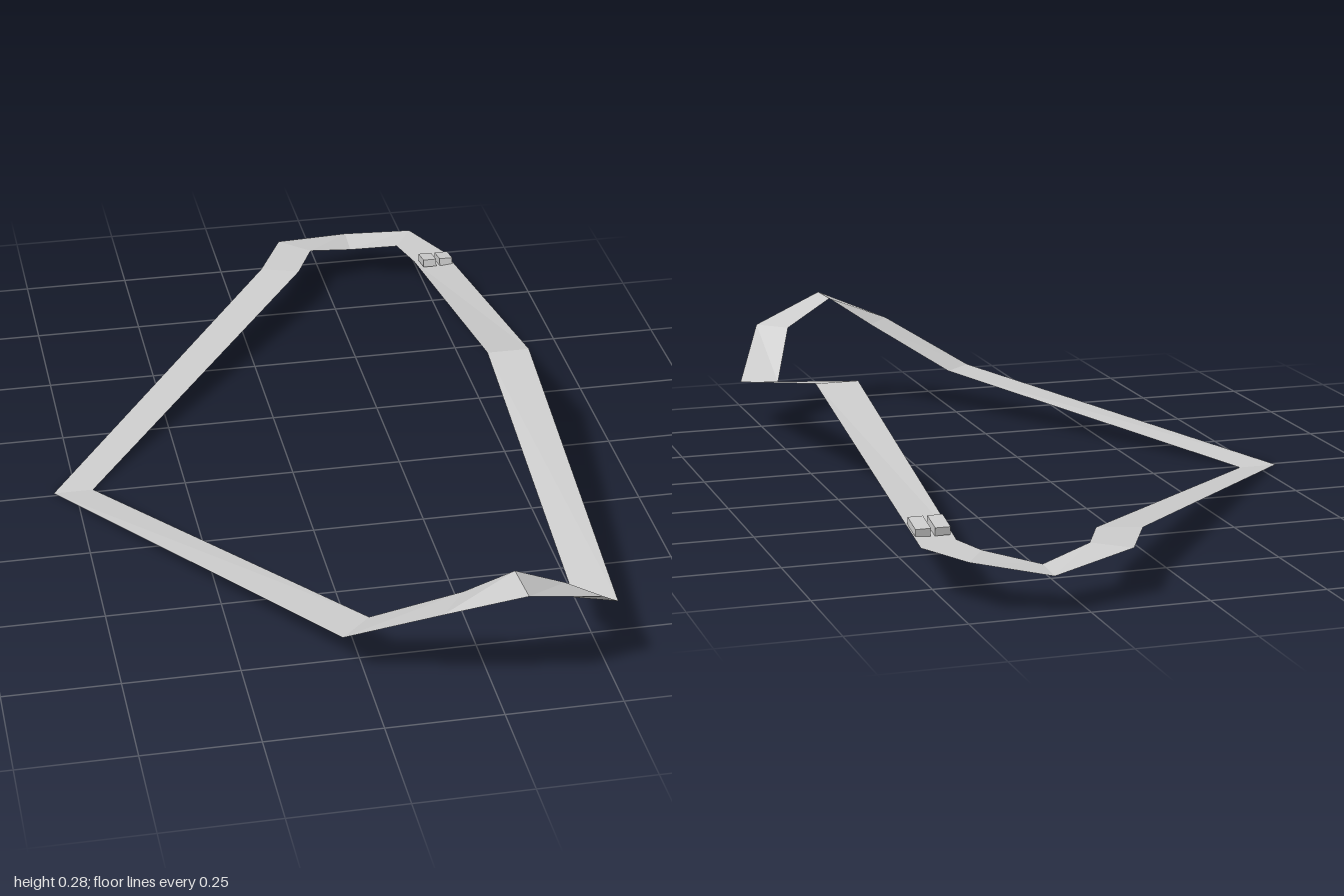
import * as THREE from 'three';

// Stations round the circuit: [outer x, outer z, inner x, inner z, height]
const STATIONS = [
  [-0.55, -0.01, -0.46, -0.01, 0],
  [0.07, -0.80, 0.16, -0.77, 0.105],
  [0.14, -0.94, 0.21, -0.875, 0.105],
  [0.325, -1.0, 0.32, -0.91, 0.08],
  [0.48, -0.94, 0.43, -0.86, 0.105],
  [0.54, -0.81, 0.455, -0.77, 0.105],
  [0.547, 0, 0.45, 0, 0.268],
  [0.54, 0.795, 0.453, 0.765, 0.105],
  [0.465, 0.935, 0.40, 0.87, 0.218],
  [0.29, 0.995, 0.285, 0.90, 0.28],
  [0.13, 0.935, 0.19, 0.86, 0.215],
  [-0.05, 0.82, 0.018, 0.757, 0.105],
];

// Flat ribbon joining each station to the next, closed into a loop
function trackGeometry() {
  const positions = [];
  const indices = [];
  const n = STATIONS.length;
  STATIONS.forEach(([ox, oz, ix, iz, y], k) => {
    positions.push(ox, y, oz, ix, y, iz);
    const a = 2 * k, b = 2 * ((k + 1) % n);
    indices.push(a, a + 1, b, a + 1, b + 1, b);
  });
  const indexed = new THREE.BufferGeometry();
  indexed.setAttribute('position', new THREE.Float32BufferAttribute(positions, 3));
  indexed.setIndex(indices);
  const geometry = indexed.toNonIndexed();
  geometry.computeVertexNormals();
  return geometry;
}

export function createModel() {
  const group = new THREE.Group();
  const material = new THREE.MeshStandardMaterial({
    color: 0xcccccc, flatShading: true, side: THREE.DoubleSide,
  });

  const track = new THREE.Mesh(trackGeometry(), material);
  track.name = 'track';
  group.add(track);

  // Two small cars side by side, resting on the slope of the long straight
  const carGeometry = new THREE.BoxGeometry(0.032, 0.018, 0.058);
  for (const [name, x] of [['innerCar', 0.48], ['outerCar', 0.521]]) {
    const car = new THREE.Mesh(carGeometry, material);
    car.name = name;
    car.position.set(x, 0.127, -0.731);
    car.rotation.x = -0.2;
    group.add(car);
  }
  return group;
}
